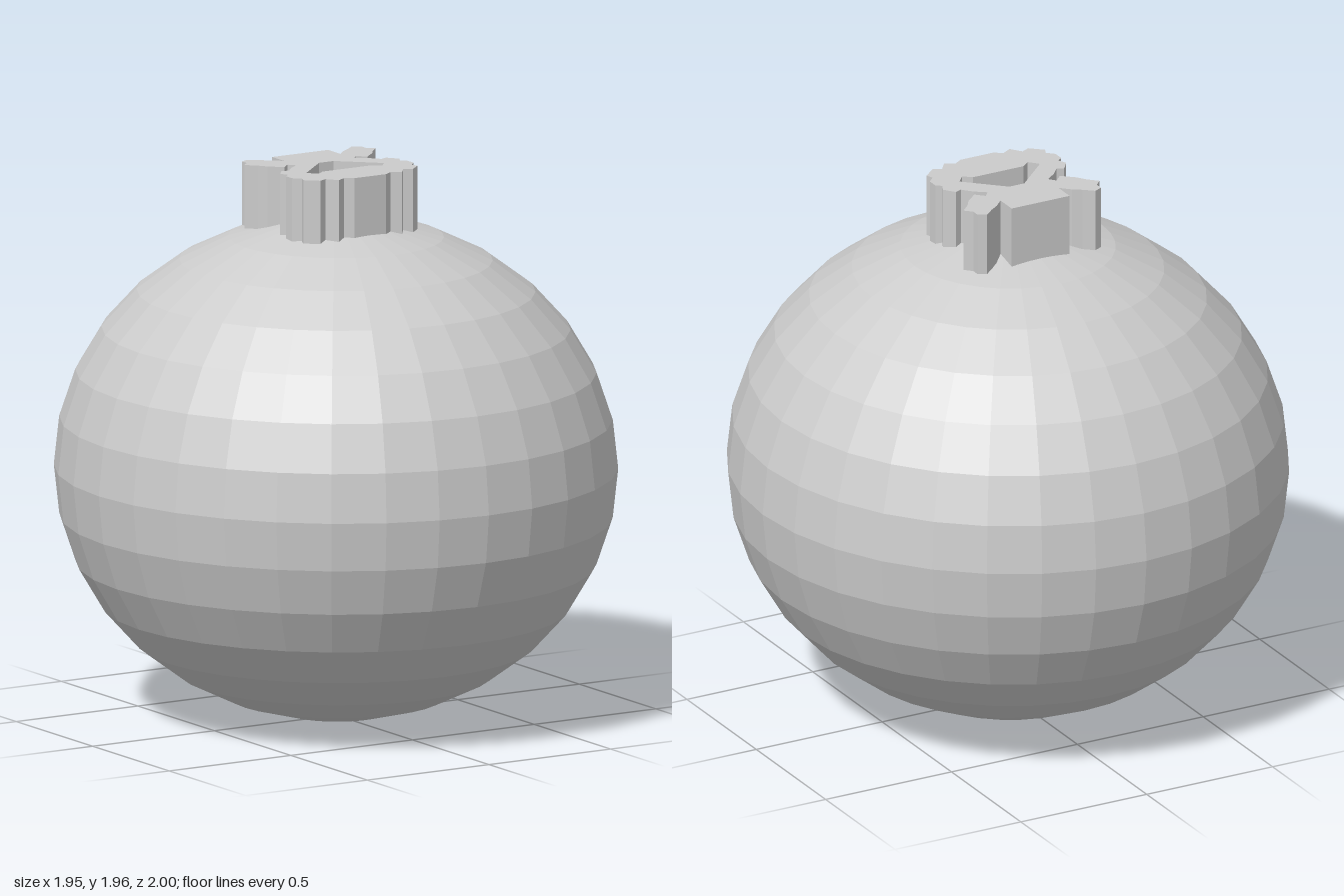
import * as THREE from 'three';

// Mirrors a half outline (x <= 0, from back to front) into a closed loop.
function mirrored(half) {
  const other = half.filter(([x]) => x !== 0).map(([x, z]) => [-x, z]).reverse();
  return [...half, ...other].map(([x, z]) => new THREE.Vector2(x, -z));
}

export function createModel() {
  const model = new THREE.Group();
  const material = new THREE.MeshStandardMaterial({ color: 0xcccccc, flatShading: true });

  // Faceted, slightly flattened ball
  const ball = new THREE.Mesh(new THREE.SphereGeometry(1, 32, 16), material);
  ball.name = 'ball';
  ball.scale.set(0.975, 0.885, 1);
  ball.position.y = 0.885;
  model.add(ball);

  // Crown on top: back block, two diagonal arms and a scalloped front ring
  const crown = new THREE.Shape(mirrored([
    [0, -0.235], [-0.115, -0.235], [-0.115, -0.155], [-0.15, -0.19],
    [-0.18, -0.21], [-0.215, -0.24], [-0.245, -0.225], [-0.245, -0.195],
    [-0.27, -0.17], [-0.235, -0.135], [-0.215, -0.105], [-0.17, -0.065],
    [-0.14, -0.095], [-0.12, -0.07], [-0.16, -0.04], [-0.19, -0.005],
    [-0.215, -0.015], [-0.245, 0.025], [-0.23, 0.055], [-0.25, 0.07],
    [-0.25, 0.11], [-0.225, 0.135], [-0.235, 0.16], [-0.19, 0.2],
    [-0.16, 0.185], [-0.13, 0.225], [-0.095, 0.205], [-0.065, 0.225], [0, 0.225],
  ]));
  // Arched opening through the crown
  crown.holes.push(new THREE.Path(mirrored([
    [0, -0.063], [-0.03, -0.063], [-0.16, 0.06], [-0.13, 0.095], [-0.1, 0.07], [0, 0.07],
  ])));
  const crownGeometry = new THREE.ExtrudeGeometry(crown, { depth: 0.225, bevelEnabled: false });
  crownGeometry.rotateX(-Math.PI / 2);
  const crownMesh = new THREE.Mesh(crownGeometry, material);
  crownMesh.name = 'crown';
  crownMesh.position.y = 1.73;
  model.add(crownMesh);

  return model;
}
